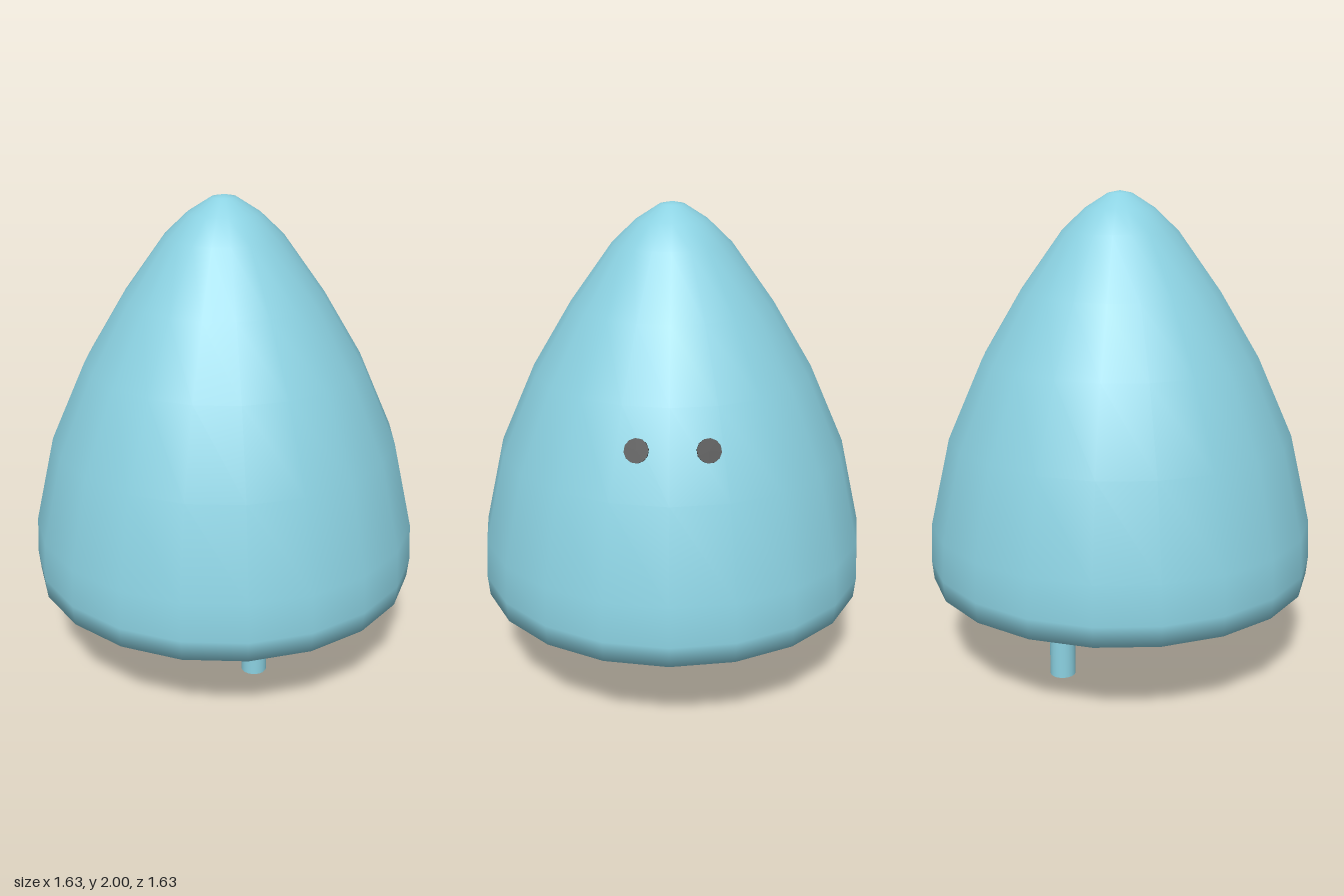
import * as THREE from 'three';
import { mergeVertices } from 'three/addons/utils/BufferGeometryUtils.js';

const SIDES = 20;

export function createModel() {
  const model = new THREE.Group();
  model.name = 'model';
  const skin = new THREE.MeshStandardMaterial({ name: 'pale blue', color: 0x8bd1e1 });
  const black = new THREE.MeshStandardMaterial({ name: 'black', color: 0x050505 });

  function add(name, geometry, material) {
    const mesh = new THREE.Mesh(geometry, material);
    mesh.name = name;
    model.add(mesh);
    return mesh;
  }

  // Pointed dome body, closed underneath and smooth over the lower rim
  const profile = [
    [0, 0.385], [0.808, 0.385], [0.816, 0.47], [0.808, 0.63], [0.722, 1.0], [0.575, 1.33],
    [0.413, 1.6], [0.24, 1.84], [0.145, 1.93], [0.05, 1.99], [0, 2.0],
  ].map(([r, y]) => new THREE.Vector2(r, y));
  const lathe = new THREE.LatheGeometry(profile, SIDES);
  lathe.deleteAttribute('uv');
  lathe.deleteAttribute('normal');
  const dome = mergeVertices(lathe, 1e-4);
  dome.computeVertexNormals();
  add('body', dome, skin);

  // Two thin round legs
  for (const [name, z] of [['legLeft', 0.313], ['legRight', -0.356]]) {
    const leg = add(name, new THREE.CylinderGeometry(0.054, 0.054, 0.4, 20), skin);
    leg.position.set(0, 0.2, z);
  }

  // Flat eyes, each lying on one facet of the body on the +x side
  const half = Math.PI / SIDES;
  const apothem = 0.640 * Math.cos(half);
  const tilt = Math.atan(0.445 * Math.cos(half));
  for (const [name, side, z] of [['eyeA', 1, 0.122], ['eyeB', -1, -0.144]]) {
    const a = side * half;
    const along = (z - apothem * Math.sin(a)) / Math.cos(a);
    const normal = new THREE.Vector3(
      Math.cos(a) * Math.cos(tilt), Math.sin(tilt), Math.sin(a) * Math.cos(tilt));
    const eye = add(name, new THREE.CylinderGeometry(0.047, 0.047, 0.008, 12), black);
    eye.quaternion.setFromUnitVectors(new THREE.Vector3(0, 1, 0), normal);
    eye.position.set(
      apothem * Math.cos(a) - along * Math.sin(a), 1.18, z).addScaledVector(normal, 0.003);
  }

  return model;
}
